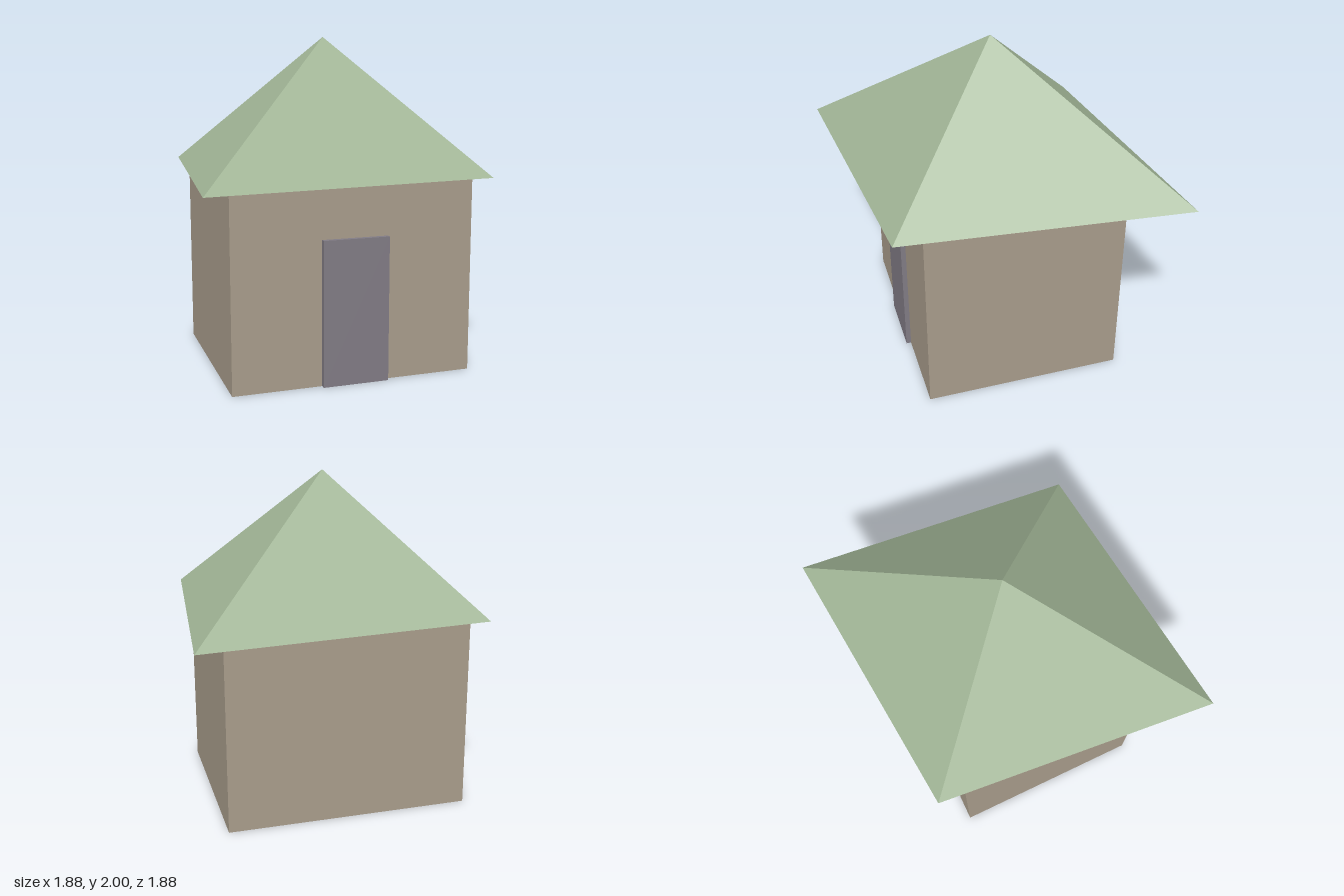
import * as THREE from 'three';

function makeMaterial(name, color, flatShading = false) {
  const material = new THREE.MeshStandardMaterial({ color, flatShading });
  material.name = name;
  return material;
}

export function createModel() {
  const house = new THREE.Group();
  house.name = 'house';

  const wallTan = makeMaterial('wall tan', 0xa89c8b);
  const roofGreen = makeMaterial('roof green', 0xa0b495, true);
  const doorGrey = makeMaterial('door grey', 0x807b84);

  function add(name, geometry, material, x, y, z) {
    const mesh = new THREE.Mesh(geometry, material);
    mesh.name = name;
    mesh.position.set(x, y, z);
    house.add(mesh);
    return mesh;
  }

  // Walls
  add('walls', new THREE.BoxGeometry(1.466, 1.2, 1.2), wallTan, 0, 0.6, 0);

  // Door slab standing proud of the front wall
  add('door', new THREE.BoxGeometry(0.4, 0.866, 0.03), doorGrey, 0, 0.433, 0.615);

  // Four-sided roof: a diamond-shaped base, stretched along one diagonal, then turned
  const roofShape = new THREE.ConeGeometry(1, 0.8, 4)
    .scale(1.327, 1, 1.098)
    .rotateY(Math.PI / 4);
  add('roof', roofShape, roofGreen, 0, 1.6, 0);

  return house;
}
